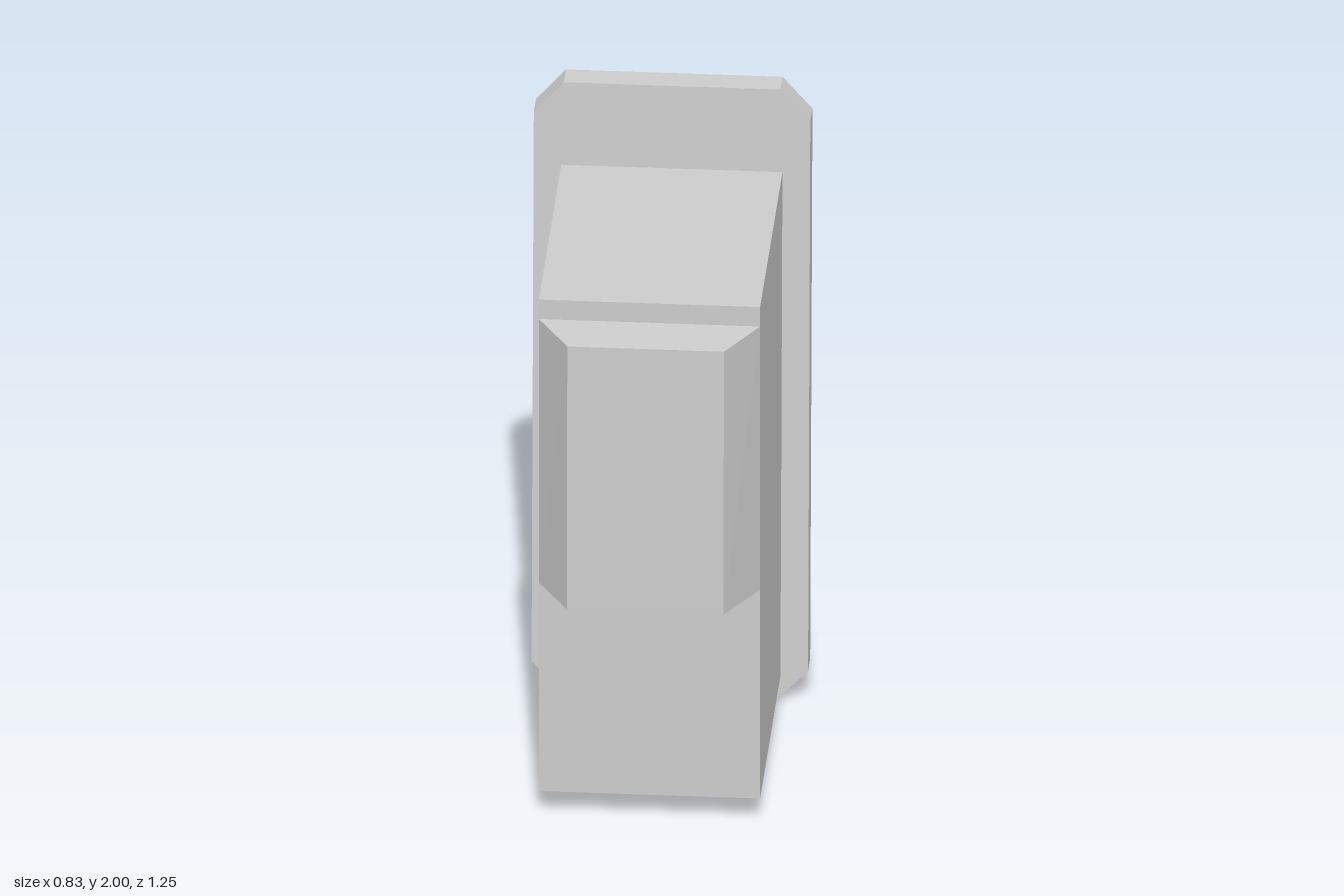
import * as THREE from 'three';

const material = new THREE.MeshStandardMaterial({ color: 0xcccccc, flatShading: true });
const LEAN = 0.05; // backward lean of the plate, per unit of height

// Six-sided block between two rectangles. Each end: half width x, heights y0..y1,
// depth z0 at the bottom edge and z1 at the top edge.
function block(name, back, front) {
  const geometry = new THREE.BoxGeometry(2, 2, 2);
  const p = geometry.attributes.position;
  for (let i = 0; i < p.count; i++) {
    const end = p.getZ(i) > 0 ? front : back;
    const top = p.getY(i) > 0;
    p.setXYZ(i, Math.sign(p.getX(i)) * end.x, top ? end.y1 : end.y0, top ? end.z1 : end.z0);
  }
  geometry.computeVertexNormals();
  const mesh = new THREE.Mesh(geometry, material);
  mesh.name = name;
  return mesh;
}

// Upright plate with chamfered corners, sheared so that it leans back
function leaningPlate() {
  const w = 0.415, c = 0.325, h = 2, d = 0.1;
  const outline = new THREE.Shape([
    [-c, 0], [c, 0], [w, d], [w, h - d], [c, h], [-c, h], [-w, h - d], [-w, d],
  ].map(([x, y]) => new THREE.Vector2(x, y)));
  const geometry = new THREE.ExtrudeGeometry(outline, { depth: 0.085, bevelEnabled: false });
  const p = geometry.attributes.position;
  for (let i = 0; i < p.count; i++) {
    const y = p.getY(i), z = p.getZ(i);
    // the underside rises slightly towards the front
    p.setXYZ(i, p.getX(i), y === 0 && z > 0 ? 0.005 : y, z - 0.437 - LEAN * y);
  }
  geometry.computeVertexNormals();
  const mesh = new THREE.Mesh(geometry, material);
  mesh.name = 'backPlate';
  return mesh;
}

export function createModel() {
  const model = new THREE.Group();
  model.name = 'wallHousing';

  model.add(leaningPlate());

  // Main box, its rear end sunk into the leaning plate
  model.add(block('body',
    { x: 0.332, y0: 0.08, y1: 1.73, z0: -0.385, z1: -0.385 - LEAN * 1.65 },
    { x: 0.332, y0: 0.08, y1: 1.73, z0: 0.455, z1: 0.455 }));

  // Tapered block on the front of the body
  model.add(block('frontBlock',
    { x: 0.332, y0: 0.78, y1: 1.665, z0: 0.455, z1: 0.455 },
    { x: 0.235, y0: 0.78, y1: 1.655, z0: 0.625, z1: 0.61 }));

  // Bevelled panel on the back of the plate
  model.add(block('rearPanel',
    { x: 0.21, y0: 0.24, y1: 1.5, z0: -0.56, z1: -0.622 },
    { x: 0.332, y0: 0.075, y1: 1.73, z0: -0.437, z1: -0.437 - LEAN * 1.73 }));

  return model;
}
